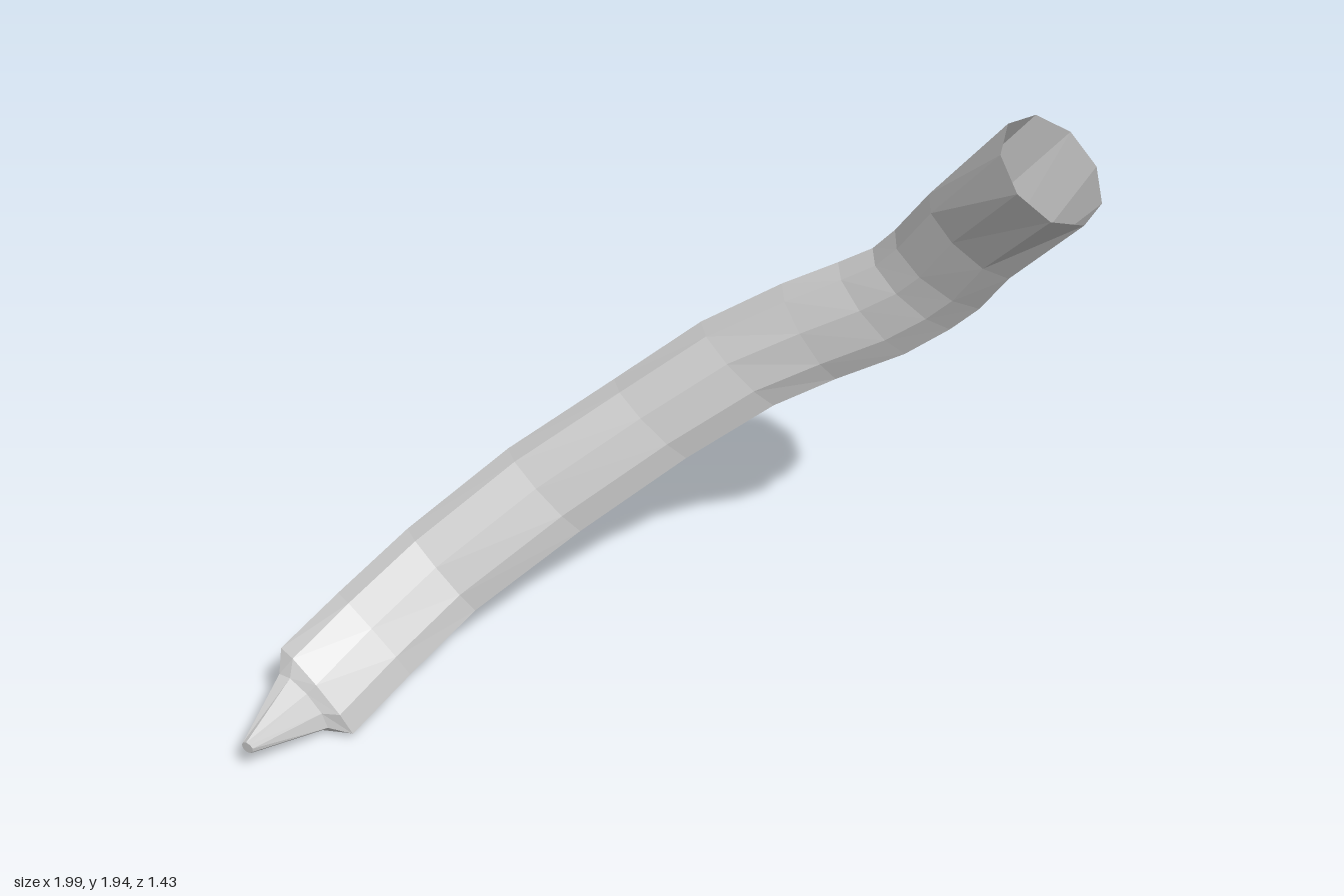
import * as THREE from 'three';

const SIDES = 9;

// Sections from the spike tip to the open mouth:
// centre x, y, z, half-width vector x, y, and half-thickness
const SECTIONS = [
  [-0.925, 0.125, 0.715, 0.014, -0.014, 0.02],
  [-0.898, 0.12, 0.475, 0.075, -0.08, 0.05],
  [-0.877, 0.133, 0.43, 0.115, -0.125, 0.07],
  [-0.805, 0.225, 0.22, 0.12, -0.115, 0.08],
  [-0.69, 0.365, 0.01, 0.115, -0.115, 0.08],
  [-0.46, 0.59, -0.22, 0.125, -0.11, 0.08],
  [-0.2, 0.82, -0.4, 0.125, -0.1, 0.08],
  [0.02, 1.01, -0.52, 0.125, -0.105, 0.08],
  [0.21, 1.14, -0.585, 0.095, -0.13, 0.08],
  [0.38, 1.245, -0.625, 0.115, -0.115, 0.08],
  [0.49, 1.335, -0.637, 0.13, -0.09, 0.08],
  [0.565, 1.425, -0.628, 0.14, -0.08, 0.08],
  [0.66, 1.575, -0.585, 0.13, -0.09, 0.075],
  [0.868, 1.84, -0.547, 0.128, -0.102, 0.165],
];

// One flattened ring of points per section, square to the path
function makeRings() {
  const centres = SECTIONS.map(([x, y, z]) => new THREE.Vector3(x, y, z));
  return SECTIONS.map(([, , , wx, wy, thickness], i) => {
    const before = centres[Math.max(i - 1, 0)];
    const after = centres[Math.min(i + 1, centres.length - 1)];
    const tangent = after.clone().sub(before).normalize();
    const wide = new THREE.Vector3(wx, wy, 0);
    const thin = tangent.cross(wide).setLength(thickness);
    return Array.from({ length: SIDES }, (_, j) => {
      const a = (j / SIDES) * Math.PI * 2;
      return centres[i].clone()
        .addScaledVector(wide, -Math.cos(a))
        .addScaledVector(thin, -Math.sin(a));
    });
  });
}

// Skin a run of rings, optionally closing the first one
function skin(name, rings, material, closeStart = false) {
  const positions = rings.flat().flatMap((p) => p.toArray());
  const index = [];
  for (let i = 0; i < rings.length - 1; i++) {
    for (let j = 0; j < SIDES; j++) {
      const k = (j + 1) % SIDES;
      const a = i * SIDES + j, b = i * SIDES + k;
      index.push(a, b, b + SIDES, a, b + SIDES, a + SIDES);
    }
  }
  if (closeStart) {
    for (let j = 1; j < SIDES - 1; j++) index.push(0, j + 1, j);
  }
  const geometry = new THREE.BufferGeometry();
  geometry.setAttribute('position', new THREE.Float32BufferAttribute(positions, 3));
  geometry.setIndex(index);
  geometry.computeVertexNormals();
  const mesh = new THREE.Mesh(geometry, material);
  mesh.name = name;
  return mesh;
}

export function createModel() {
  const group = new THREE.Group();
  group.name = 'curvedTube';
  const material = new THREE.MeshStandardMaterial({
    color: 0xcccccc, flatShading: true, side: THREE.DoubleSide,
  });
  const rings = makeRings();
  group.add(
    skin('spike', rings.slice(0, 2), material, true),
    skin('collar', rings.slice(1, 3), material),
    skin('tubeBody', rings.slice(2, 13), material),
    skin('flaredMouth', rings.slice(12), material),
  );
  return group;
}
